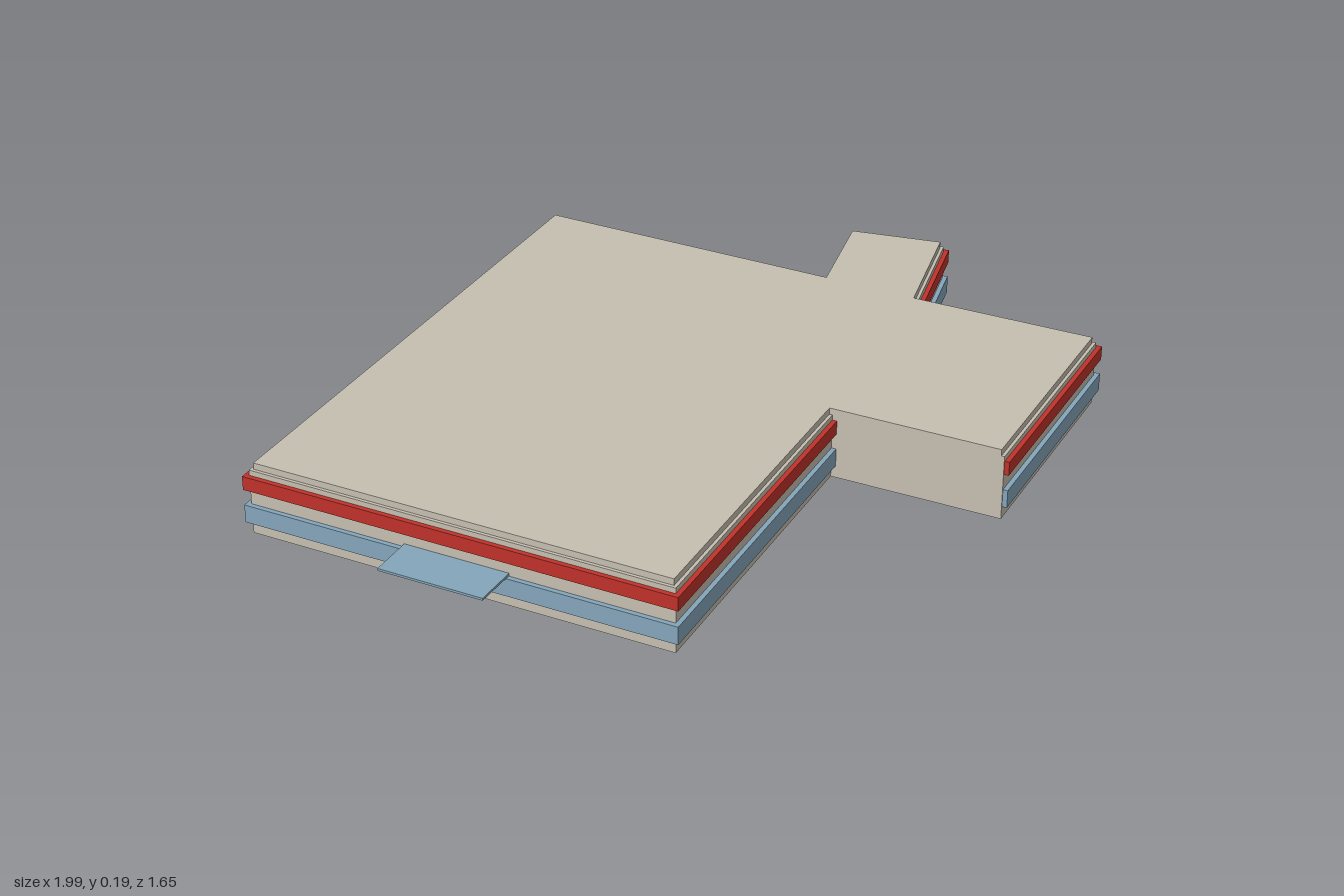
import * as THREE from 'three';

// Footprint corners (x, z), clockwise seen from above
const PLAN = [
  [-1.0, -0.46], [0.425, -0.83], [0.63, -0.05], [0.88, -0.165], [0.99, 0.065],
  [0.695, 0.205], [0.825, 0.665], [0.22, 0.825], [0.105, 0.405], [-0.71, 0.625],
];
// Edges (by starting corner) that are plain blank walls without stripes
const BLANK = [2, 7];

// Move every edge of the footprint inward; blank walls use their own inset
function insetPlan(inset, blankInset) {
  const n = PLAN.length;
  const lines = PLAN.map(([x, z], i) => {
    const [x2, z2] = PLAN[(i + 1) % n];
    const len = Math.hypot(x2 - x, z2 - z);
    const dx = (x2 - x) / len, dz = (z2 - z) / len;
    const d = BLANK.includes(i) ? blankInset : inset;
    return { x: x - dz * d, z: z + dx * d, dx, dz };
  });
  return lines.map((b, i) => {
    const a = lines[(i + n - 1) % n];
    const t = ((b.x - a.x) * b.dz - (b.z - a.z) * b.dx) / (a.dx * b.dz - a.dz * b.dx);
    return [a.x + a.dx * t, a.z + a.dz * t];
  });
}

// Horizontal slab with the given outline between two heights
function slab(name, points, y0, y1, material) {
  const shape = new THREE.Shape(points.map(([x, z]) => new THREE.Vector2(x, -z)));
  const geometry = new THREE.ExtrudeGeometry(shape, { depth: y1 - y0, bevelEnabled: false });
  geometry.rotateX(-Math.PI / 2);
  geometry.translate(0, y0, 0);
  const mesh = new THREE.Mesh(geometry, material);
  mesh.name = name;
  return mesh;
}

export function createModel() {
  const stone = new THREE.MeshStandardMaterial({ color: 0xc6bfb1 });
  stone.name = 'stone grey';
  const red = new THREE.MeshStandardMaterial({ color: 0xc0322a });
  red.name = 'stripe red';
  const blue = new THREE.MeshStandardMaterial({ color: 0x84a5ba });
  blue.name = 'glass blue';

  const group = new THREE.Group();
  group.name = 'building';

  // Walls and the stepped roof edge
  group.add(slab('walls', insetPlan(0.012, 0), 0, 0.17, stone));
  group.add(slab('roof', insetPlan(0.02, 0), 0.17, 0.187, stone));

  // Projecting stripes, ending just inside the blank walls
  group.add(slab('windowBand', insetPlan(0, 0.003), 0.032, 0.079, blue));
  group.add(slab('redBand', insetPlan(0, 0.003), 0.12, 0.156, red));

  // Thin entrance canopy
  const canopy = [[-0.99, -0.025], [-0.87, -0.056], [-0.80, 0.207], [-0.92, 0.236]];
  group.add(slab('canopy', canopy, 0.081, 0.087, blue));

  return group;
}
